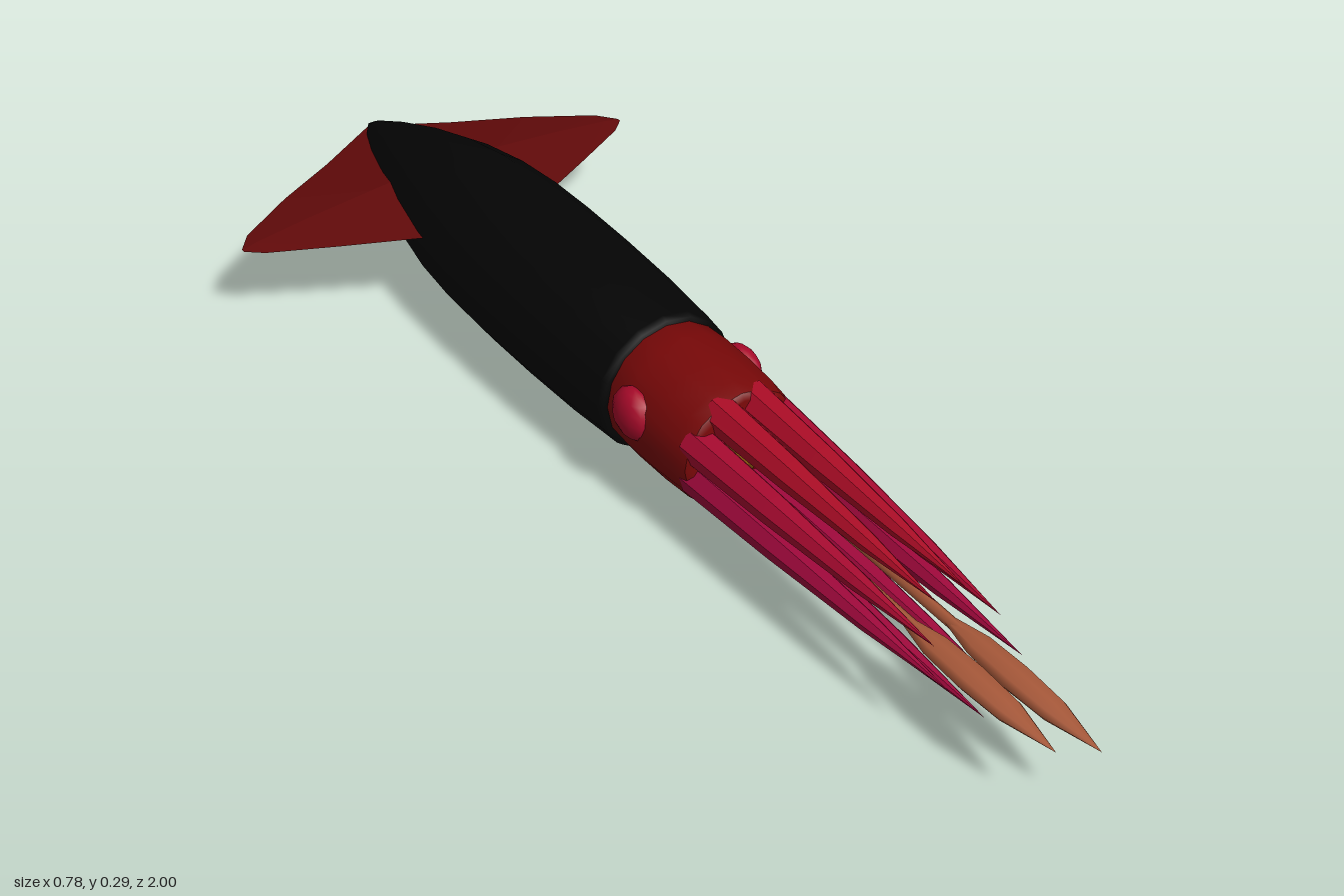
import * as THREE from 'three';

const mat = (name, color, extra = {}) => {
  const m = new THREE.MeshStandardMaterial({ color, ...extra });
  m.name = name;
  return m;
};

// Solid of revolution along +z from [z, radius] pairs
function turned(profile, sides) {
  const g = new THREE.LatheGeometry(profile.map(([z, r]) => new THREE.Vector2(r, z)), sides);
  return g.rotateX(Math.PI / 2);
}

// Lens-section fin built from spanwise stations [x, zFront, zBack, y at front, y at back, half thickness]
function finGeometry(side) {
  const stations = [
    [0, -0.505, -1, 0.182, 0.15, 0.028],
    [0.13, -0.58, -0.92, 0.177, 0.153, 0.021],
    [0.25, -0.65, -0.855, 0.167, 0.156, 0.012],
    [0.36, -0.715, -0.785, 0.159, 0.157, 0.004],
    [0.388, -0.742, -0.75, 0.157, 0.157, 0.0005],
  ];
  const pos = [], idx = [];
  for (const [x, zf, zb, yf, yb, t] of stations) {
    const zm = (zf + zb) / 2, ym = (yf + yb) / 2;
    pos.push(side * x, yf, zf, side * x, ym + t, zm, side * x, yb, zb, side * x, ym - t, zm);
  }
  const quad = (a, b, c, d) => (side > 0 ? idx.push(a, b, c, a, c, d) : idx.push(a, c, b, a, d, c));
  for (let s = 0; s < stations.length - 1; s++) {
    for (let k = 0; k < 4; k++) {
      const n = (k + 1) % 4;
      quad(s * 4 + k, s * 4 + 4 + k, s * 4 + 4 + n, s * 4 + n);
    }
  }
  const e = (stations.length - 1) * 4;
  quad(e, e + 3, e + 2, e + 1);
  const g = new THREE.BufferGeometry();
  g.setAttribute('position', new THREE.Float32BufferAttribute(pos, 3));
  g.setIndex(idx);
  g.computeVertexNormals();
  return g;
}

export function createModel() {
  const root = new THREE.Group();
  root.name = 'squid';
  const black = mat('mantleBlack', 0x040404);
  const red = mat('headRed', 0x780808);
  const finRed = mat('finRed', 0x620a0a, { flatShading: true, side: THREE.DoubleSide });
  const crimson = mat('dorsalArmCrimson', 0xac0c26, { flatShading: true });
  const rose = mat('sideArmRose', 0xa80a30, { flatShading: true });
  const magenta = mat('lowerArmMagenta', 0xa0083c, { flatShading: true });
  const eyeRed = mat('eyeCrimson', 0xa80a2a);
  const tan = mat('tentacleTan', 0xa8593a);
  const gold = mat('beakGold', 0x946210, { flatShading: true });

  const add = (name, geo, material, x = 0, y = 0, z = 0) => {
    const m = new THREE.Mesh(geo, material);
    m.name = name;
    m.position.set(x, y, z);
    root.add(m);
    return m;
  };
  const Y = 0.155;

  // Mantle, pointed at the back with a rim at the front
  add('mantle', turned([
    [-1, 0], [-0.97, 0.02], [-0.9, 0.05], [-0.8, 0.085], [-0.7, 0.112], [-0.6, 0.129],
    [-0.5, 0.137], [-0.4, 0.139], [-0.28, 0.138], [-0.15, 0.134], [-0.03, 0.126],
    [-0.018, 0.122], [-0.018, 0.1],
  ], 16), black, 0, Y);

  // Head with a flat arm crown face
  add('head', turned([
    [-0.05, 0.1], [-0.02, 0.114], [0.03, 0.117], [0.1, 0.116], [0.16, 0.112], [0.187, 0.106],
  ], 16), red, 0, Y);
  add('crown', turned([[0.187, 0.106], [0.195, 0.096], [0.197, 0]], 16), red, 0, Y);
  add('beak', turned([[0.19, 0.042], [0.215, 0.034], [0.235, 0]], 6), gold, 0, 0.163);

  // Eyes and fins, mirrored
  for (const s of [1, -1]) {
    const label = s > 0 ? 'left' : 'right';
    const eye = add(label + 'Eye', new THREE.SphereGeometry(1, 12, 8), eyeRed, s * 0.102, 0.176, 0.042);
    eye.scale.set(0.03, 0.046, 0.048);
    add(label + 'Fin', finGeometry(s), finRed);
  }

  // Siphon under the head, hollow at its front end
  const siphon = add('siphon', turned([
    [-0.14, 0], [-0.1, 0.026], [-0.04, 0.038], [0.03, 0.037], [0.105, 0.03],
    [0.105, 0.022], [-0.04, 0.024], [-0.05, 0],
  ], 10), red, 0, 0.032, 0);
  siphon.scale.y = 0.82;

  // Eight tapering arms: [name, material, base x, base y, tip x, tip y, tip z]
  const arms = [
    ['dorsalArm', crimson, 0.031, 0.229, 0.027, 0.22, 0.7],
    ['upperSideArm', rose, 0.074, 0.187, 0.06, 0.182, 0.74],
    ['lowerSideArm', magenta, 0.074, 0.125, 0.067, 0.135, 0.785],
    ['ventralArm', magenta, 0.031, 0.082, 0.027, 0.09, 0.82],
  ];
  const forward = new THREE.Vector3(0, 0, 1);
  for (const [name, material, bx, by, tx, ty, tz] of arms) {
    for (const s of [1, -1]) {
      const from = new THREE.Vector3(s * bx, by, 0.17);
      const dir = new THREE.Vector3(s * tx, ty, tz).sub(from);
      const L = dir.length();
      const geo = turned([[0, 0.032], [L * 0.35, 0.026], [L * 0.7, 0.0155], [L, 0]], 7);
      const arm = add((s > 0 ? 'left' : 'right') + name[0].toUpperCase() + name.slice(1),
        geo, material, from.x, from.y, from.z);
      arm.quaternion.setFromUnitVectors(forward, dir.normalize());
    }
  }

  // Two long feeding tentacles ending in flattened clubs
  for (const [s, tip] of [[1, 1], [-1, 0.965]]) {
    const label = s > 0 ? 'left' : 'right';
    add(label + 'TentacleStalk', turned([[0.18, 0.011], [tip - 0.28, 0.009]], 6), tan, s * 0.025, 0.139);
    const club = add(label + 'TentacleClub', turned([
      [tip - 0.33, 0.009], [tip - 0.26, 0.024], [tip - 0.18, 0.027], [tip - 0.1, 0.023], [tip, 0],
    ], 8), tan, s * 0.026, 0.139);
    club.scale.y = 0.58;
  }
  return root;
}
